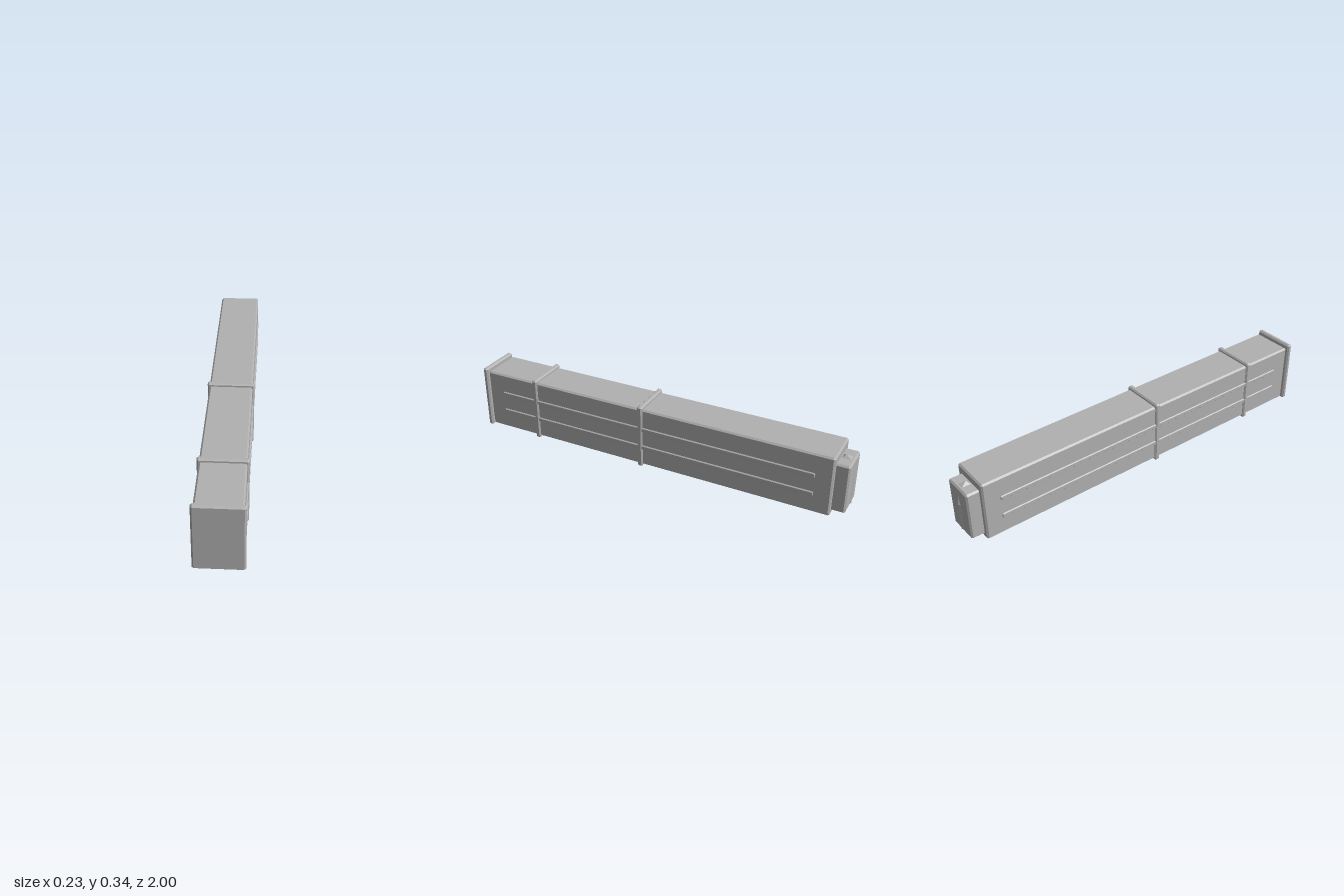
import * as THREE from 'three';
import { ConvexGeometry } from 'three/addons/geometries/ConvexGeometry.js';

const steel = new THREE.MeshStandardMaterial({ color: 0xb0b0b0 });
steel.name = 'grey steel';

// Box between two corners with every edge chamfered by c
function chamferBox([x0, y0, z0], [x1, y1, z1], c) {
  const h = [(x1 - x0) / 2, (y1 - y0) / 2, (z1 - z0) / 2];
  const points = [];
  for (const sx of [-1, 1]) for (const sy of [-1, 1]) for (const sz of [-1, 1]) {
    for (let axis = 0; axis < 3; axis++) {
      const p = h.map((v, i) => (i === axis ? v : v - c));
      points.push(new THREE.Vector3(sx * p[0], sy * p[1], sz * p[2]));
    }
  }
  return new ConvexGeometry(points).translate((x0 + x1) / 2, (y0 + y1) / 2, (z0 + z1) / 2);
}

function hull(points) {
  return new ConvexGeometry(points.map((p) => new THREE.Vector3(...p)));
}

export function createModel() {
  const model = new THREE.Group();
  model.name = 'boxCase';
  const add = (name, geometry) => {
    const mesh = new THREE.Mesh(geometry, steel);
    mesh.name = name;
    model.add(mesh);
  };

  // Long body, with a short neck joining it to the end plate
  add('body', chamferBox([-0.105, 0.014, -0.928], [0.105, 0.328, 0.967], 0.008));
  add('neck', new THREE.BoxGeometry(0.19, 0.29, 0.03).translate(0, 0.171, 0.965));

  // Front end plate and the two bands around the body
  add('frontPlate', chamferBox([-0.114, 0.004, 0.972], [0.114, 0.343, 1.0], 0.008));
  for (const z of [0.675, 0.058]) {
    add('band', chamferBox([-0.114, 0.004, z - 0.014], [0.114, 0.343, z + 0.014], 0.007));
  }

  // Two reinforcing ribs along each side
  for (const side of [-1, 1]) for (const y of [0.115, 0.216]) {
    const xs = [side * 0.098, side * 0.111].sort((a, b) => a - b);
    add('sideRib', chamferBox([xs[0], y - 0.012, -0.843], [xs[1], y + 0.012, 0.882], 0.004));
  }

  // Smaller block on the back end
  add('rearBlock', chamferBox([-0.08, 0.034, -0.993], [0.08, 0.288, -0.92], 0.008));

  // Pointed latch on the back face: wide bar, narrow tip
  add('latchBar', hull([
    [-0.02, 0.045, -0.99], [0.02, 0.045, -0.99], [-0.02, 0.195, -0.99], [0.02, 0.195, -0.99],
    [0, 0.05, -1.0], [0, 0.195, -1.0],
  ]));
  add('latchTip', hull([
    [-0.012, 0.195, -0.99], [0.012, 0.195, -0.99], [0, 0.195, -1.0], [0, 0.25, -0.992],
    [0, 0.25, -0.988],
  ]));

  // Low wedge on top of the rear block
  add('topWedge', hull([
    [-0.022, 0.284, -0.985], [0.022, 0.284, -0.985], [-0.022, 0.284, -0.93], [0.022, 0.284, -0.93],
    [0, 0.302, -0.947],
  ]));

  // Shallow pad underneath near the back
  add('bottomPad', chamferBox([-0.045, 0, -0.81], [0.045, 0.018, -0.675], 0.003));

  return model;
}
